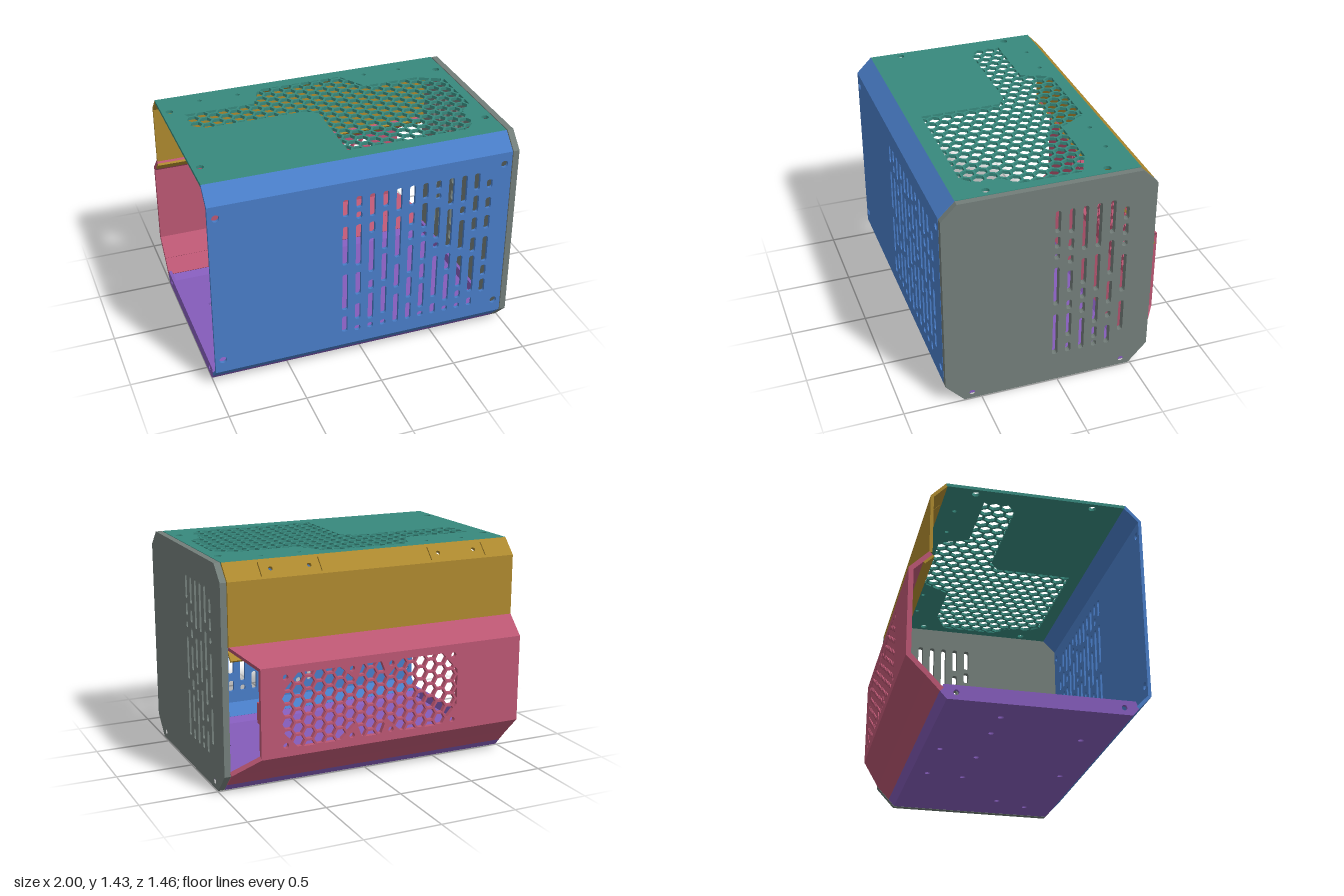
import * as THREE from 'three';

const mat = (name, color) => {
  const m = new THREE.MeshStandardMaterial({ color });
  m.name = name;
  return m;
};

// rounded slot as a list of points, centred on u, between v0 and v1
function slot(u, v0, v1, w) {
  const h = w / 2, c = Math.min(w * 0.35, Math.abs(v1 - v0) * 0.4);
  const a = Math.min(v0, v1), b = Math.max(v0, v1);
  return [[u - h + c, a], [u + h - c, a], [u + h - c * 0.3, a + c * 0.3], [u + h, a + c], [u + h, b - c],
    [u + h - c * 0.3, b - c * 0.3], [u + h - c, b], [u - h + c, b], [u - h + c * 0.3, b - c * 0.3],
    [u - h, b - c], [u - h, a + c], [u - h + c * 0.3, a + c * 0.3]];
}

function circle(u, v, r, n = 16) {
  return Array.from({ length: n }, (_, i) => {
    const t = (i / n) * Math.PI * 2;
    return [u + r * Math.cos(t), v + r * Math.sin(t)];
  });
}

// part of a polygon that lies inside a convex counter-clockwise cell
function clip(poly, cell) {
  let out = poly;
  cell.forEach((a, i) => {
    const b = cell[(i + 1) % cell.length];
    const side = p => (b[0] - a[0]) * (p[1] - a[1]) - (b[1] - a[1]) * (p[0] - a[0]);
    const next = [];
    out.forEach((p, j) => {
      const q = out[(j + 1) % out.length], sp = side(p), sq = side(q);
      if (sp >= 0) next.push(p);
      if ((sp >= 0) !== (sq >= 0)) {
        const t = sp / (sp - sq);
        next.push([p[0] + (q[0] - p[0]) * t, p[1] + (q[1] - p[1]) * t]);
      }
    });
    out = next;
  });
  return out;
}

const area = p => Math.abs(p.reduce((s, a, i) => {
  const b = p[(i + 1) % p.length];
  return s + a[0] * b[1] - a[1] * b[0];
}, 0)) / 2;

// honeycomb holes filling a region
function honeycomb(region, pitch = 0.0695, row = 0.0803, r = 0.0385) {
  const cells = [];
  for (let i = -14; i <= 14; i++) {
    for (let j = -2; j <= 18; j++) {
      const cell = clip(region, circle(i * pitch, (j + (Math.abs(i) % 2) / 2) * row, r, 6));
      if (cell.length > 2 && area(cell) > 0.0004) cells.push(cell);
    }
  }
  return cells;
}

// flat sheet whose outer face lies on the plane (p, u, v); its thickness goes inwards
function sheet(name, material, outline, holes, t, p, u, v) {
  const toV = q => new THREE.Vector2(q[0], q[1]);
  const shape = new THREE.Shape(outline.map(toV));
  holes.forEach(h => shape.holes.push(new THREE.Path(h.map(toV))));
  const geo = new THREE.ExtrudeGeometry(shape, { depth: t, bevelEnabled: false });
  geo.translate(0, 0, -t);
  const U = new THREE.Vector3(...u), V = new THREE.Vector3(...v);
  const m = new THREE.Matrix4().makeBasis(U, V, U.clone().cross(V)).setPosition(...p);
  geo.applyMatrix4(m);
  const mesh = new THREE.Mesh(geo, material);
  mesh.name = name;
  return mesh;
}

// wall running along x between two profile points [z, y]; holes use (x, distance from a)
function wall(name, material, a, b, holes = [], t = 0.02, xa = 0.95, xb = xa) {
  const dz = b[0] - a[0], dy = b[1] - a[1], len = Math.hypot(dz, dy);
  return sheet(name, material, [[-1, 0], [xa, 0], [xb, len], [-1, len]], holes, t,
    [0, a[1], a[0]], [1, 0, 0], [0, dy / len, dz / len]);
}

export function createModel() {
  const model = new THREE.Group();
  model.name = 'case';
  const blue = mat('blue', 0x487cc6), green = mat('green', 0x37897d), purple = mat('purple', 0x845cba);
  const rose = mat('rose', 0xba5672), gold = mat('gold', 0xac882e), grey = mat('grey', 0x727d79);

  // front panel with columns of vent slots (heights in hundredths)
  const frontSlots = [
    [121, 109, 102, 74, 67, 40, 35, 23], [122, 114, 111, 106, 102, 72, 67, 50, 43, 31, 26, 22],
    [122, 106, 102, 94, 90, 65, 59, 52, 49, 29, 26, 22], [122, 111, 108, 80, 77, 56, 52, 31, 26, 22],
    [122, 106, 102, 72, 67, 49, 44, 22], [122, 108, 103, 94, 90, 83, 79, 58, 55, 39, 35, 22],
    [122, 111, 108, 90, 87, 83, 80, 66, 63, 51, 48, 29, 26, 22], [122, 116, 113, 109, 103, 80, 77, 73, 67, 35, 30, 22],
    [122, 103, 100, 72, 67, 54, 51, 30, 26, 22], [122, 103, 100, 94, 90, 68, 63, 39, 36, 30, 26, 22],
    [122, 110, 106, 94, 90, 80, 75, 64, 61, 33, 28, 22], [116, 110, 103, 95, 90, 80, 74, 55, 52, 44, 41, 31]];
  const columns = (table, u0, du, w, base) => table.flatMap((col, i) => {
    const out = [];
    for (let k = 0; k < col.length; k += 2) out.push(slot(u0 + i * du, col[k + 1] / 100 - base, col[k] / 100 - base, w));
    return out;
  });
  const frontHoles = columns(frontSlots, -0.148, 0.0868, 0.038, 0.13);
  for (const x of [-0.95, 0.9]) for (const y of [0.22, 1.25]) frontHoles.push(circle(x, y - 0.13, 0.024));
  model.add(
    wall('frontPanel', blue, [0.73, 0.13], [0.73, 1.33], frontHoles),
    wall('frontTopBevel', blue, [0.73, 1.33], [0.63, 1.43]),
    wall('frontBottomBevel', blue, [0.65, 0.045], [0.73, 0.13]));

  // top panel with honeycomb vent, region given as (x, z)
  const topRegion = [[-0.875, -0.25], [-0.41, -0.25], [-0.33, -0.435], [0.24, -0.435], [0.35, -0.25], [0.72, -0.25],
    [0.89, -0.17], [0.89, 0.23], [0.805, 0.3], [0.805, 0.46], [0.73, 0.535], [-0.065, 0.535], [-0.065, 0.02],
    [-0.14, -0.035], [-0.81, -0.035], [-0.875, -0.1]].map(([x, z]) => [x, 0.63 - z]);
  const topHoles = honeycomb(topRegion);
  for (const x of [-0.95, 0.9]) for (const z of [-0.32, 0.43]) topHoles.push(circle(x, 0.63 - z, 0.024));
  const mounts = [-0.73, -0.475, 0.41, 0.66];
  mounts.forEach(x => topHoles.push(circle(x, 1.04, 0.014)));
  model.add(wall('topPanel', green, [0.63, 1.43], [-0.515, 1.43], topHoles));

  // upper back panel: bevel with slits, upright and inner lip
  const goldHoles = mounts.map(x => circle(x, 0.07, 0.014));
  [-0.8, -0.41, 0.34, 0.73].forEach(x => goldHoles.push(slot(x, 0.02, 0.12, 0.006)));
  model.add(
    wall('upperBackBevel', gold, [-0.515, 1.43], [-0.61, 1.33], goldHoles),
    wall('upperBackPanel', gold, [-0.61, 1.33], [-0.61, 0.935]),
    wall('upperBackLip', gold, [-0.589, 0.919], [-0.644, 0.864], [], 0.015));

  // bulging back cover with two fan vents joined by a bridge, lower half given as (x, y)
  const lower = [[-0.54, 0.42], [-0.43, 0.3], [-0.14, 0.3], [-0.04, 0.4], [0, 0.3], [0.13, 0.3], [0.17, 0.4],
    [0.28, 0.3], [0.56, 0.3], [0.67, 0.42]];
  const upper = lower.map(([x, y]) => [x, 1.07 - y]).reverse();
  const backHoles = honeycomb([...lower, ...upper].map(([x, y]) => [x, 0.82 - y]));
  for (const x of [-0.51, -0.07, 0.2, 0.64]) for (const y of [0.32, 0.75]) backHoles.push(circle(x, 0.82 - y, 0.018));
  model.add(
    wall('backCoverTopBevel', rose, [-0.61, 0.94], [-0.73, 0.82], [], 0.03, 0.95, 0.8),
    wall('backCover', rose, [-0.73, 0.82], [-0.73, 0.25], backHoles, 0.03, 0.8),
    wall('backCoverBottomBevel', rose, [-0.73, 0.25], [-0.61, 0.13], [], 0.03, 0.8, 0.95),
    wall('backCoverFoot', rose, [-0.61, 0.13], [-0.53, 0.045], [], 0.03));
  const tab = new THREE.Mesh(new THREE.BoxGeometry(0.03, 0.13, 0.035), rose);
  tab.name = 'backCoverTab';
  tab.position.set(0.785, 0.535, -0.685);
  model.add(tab);

  // floor tray with short bevels and end flanges
  const floorHoles = [[-0.22, -0.38], [0.23, -0.38], [-0.545, -0.13], [-0.125, -0.13], [0.255, -0.14], [0.094, 0.48],
    [0.68, 0.19], [0.77, 0.41], [-0.55, 0.43], [-0.8, -0.13]].map(([x, z]) => circle(x, z + 0.49, 0.018));
  const flange = [[-0.49, 0], [0.61, 0], [0.65, 0.045], [0.63, 0.09], [-0.51, 0.09], [-0.53, 0.045]];
  const screws = [circle(0.56, 0.045, 0.017), circle(-0.435, 0.045, 0.017)];
  const flip = list => list.map(([z, y]) => [-z, y]);
  model.add(
    wall('floor', purple, [-0.49, 0], [0.61, 0], floorHoles),
    wall('floorFrontBevel', purple, [0.61, 0], [0.65, 0.045]),
    wall('floorBackBevel', purple, [-0.53, 0.045], [-0.49, 0]),
    sheet('leftFlange', purple, flange, screws, 0.02, [-1, 0, 0], [0, 0, 1], [0, 1, 0]),
    sheet('rightFlange', purple, flip(flange), [], 0.02, [0.95, 0, 0], [0, 0, -1], [0, 1, 0]));

  // end plate with vent slots and screw holes
  const endSlots = [
    [126, 111, 108, 100, 96, 92, 86, 58, 51, 20],
    [126, 109, 105, 97, 93, 87, 82, 66, 60, 53, 50, 32, 27, 20],
    [126, 95, 89, 70, 67, 59, 56, 48, 44, 20],
    [126, 95, 90, 63, 58, 38, 35, 26, 24, 20],
    [126, 103, 98, 73, 68, 51, 45, 40, 34, 20],
    [120, 111, 108, 100, 96, 92, 86, 58, 51, 28]];
  const plate = [[0.61, 0], [0.73, 0.13], [0.73, 1.33], [0.63, 1.43], [-0.51, 1.43], [-0.61, 1.33], [-0.61, 0.13], [-0.49, 0]];
  const plateHoles = [...columns(endSlots, 0.018, 0.087, 0.035, 0).map(h => h.map(([z, y]) => [z - 0.036, y])),
    ...screws.map(flip)];
  model.add(sheet('endPlate', grey, flip(plate), plateHoles, 0.04, [0.995, 0, 0], [0, 0, -1], [0, 1, 0]));
  return model;
}
